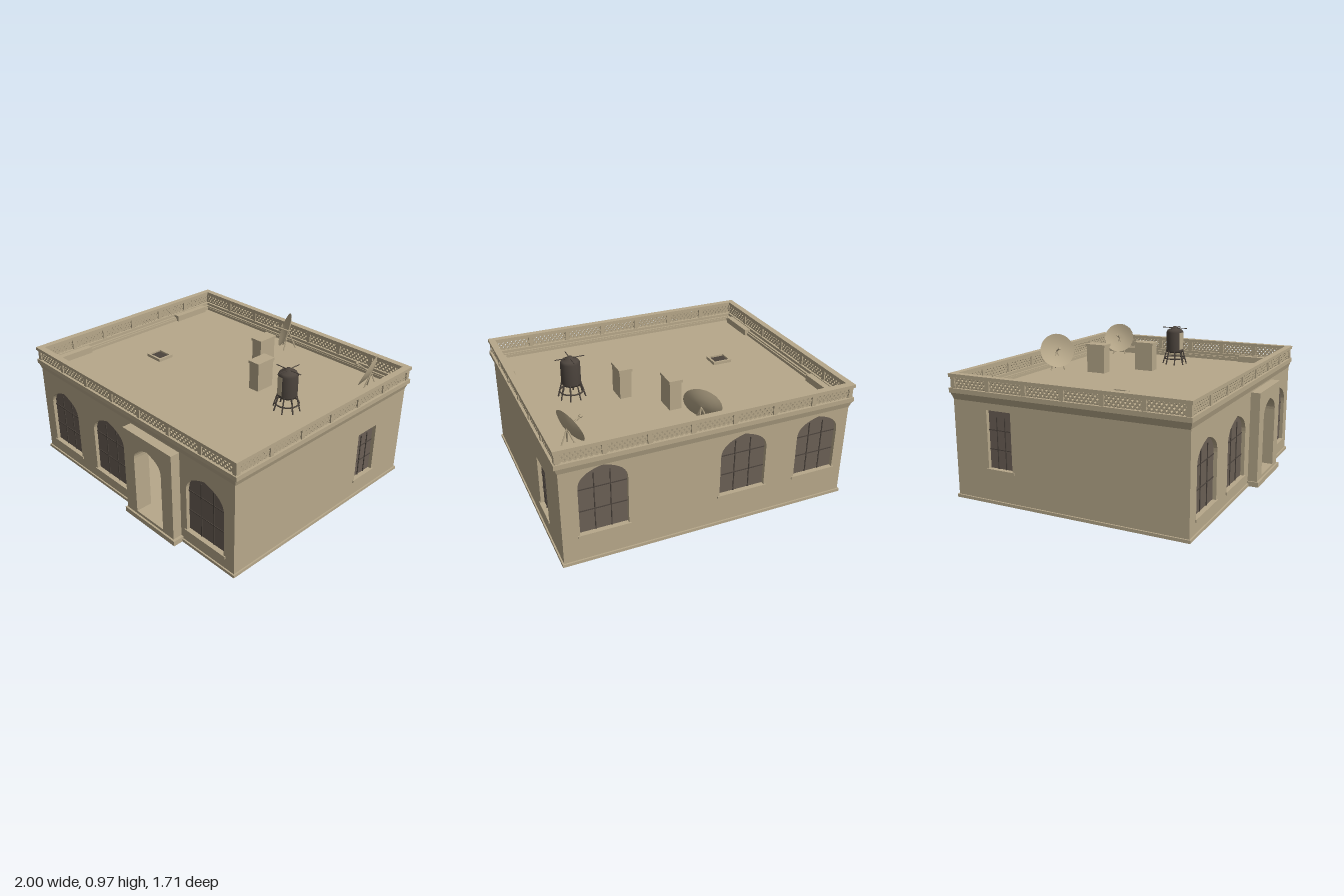
import * as THREE from 'three';
import { mergeGeometries } from 'three/addons/utils/BufferGeometryUtils.js';

const V = (x, y, z) => new THREE.Vector3(x, y, z);

export function createModel() {
  const mat = (name, color, side = THREE.FrontSide) => {
    const m = new THREE.MeshStandardMaterial({ color, side });
    m.name = name;
    return m;
  };
  const plaster = mat('plaster', 0xb7a88a, THREE.DoubleSide);
  const wood = mat('weathered wood', 0x6a5f55, THREE.DoubleSide);
  const dark = mat('dark metal', 0x4c443d, THREE.DoubleSide);
  const brown = mat('interior brown', 0x6a5230);

  const model = new THREE.Group();
  const add = (parent, name, geo, material) => {
    const m = new THREE.Mesh(geo, material);
    m.name = name;
    parent.add(m);
    return m;
  };
  // Box given by its limits on each axis
  const box = (x0, x1, y0, y1, z0, z1) =>
    new THREE.BoxGeometry(x1 - x0, y1 - y0, z1 - z0).translate((x0 + x1) / 2, (y0 + y1) / 2, (z0 + z1) / 2);
  // Straight rod between two points
  const rod = (a, b, r, sides = 6) => {
    const d = b.clone().sub(a);
    const q = new THREE.Quaternion().setFromUnitVectors(V(0, 1, 0), d.clone().normalize());
    const mid = a.clone().add(b).multiplyScalar(0.5);
    return new THREE.CylinderGeometry(r, r, d.length(), sides).applyQuaternion(q).translate(mid.x, mid.y, mid.z);
  };
  const rect = (C, x0, x1, y0, y1) => {
    const s = new C();
    s.moveTo(x0, y0).lineTo(x1, y0).lineTo(x1, y1).lineTo(x0, y1).closePath();
    return s;
  };
  // Opening outline: pointed arch or plain rectangle
  const opening = (C, o) => {
    const { x0, x1, y0, y1 } = o;
    if (!o.arch) return rect(C, x0, x1, y0, y1);
    const c = (x0 + x1) / 2, w = (x1 - x0) / 2, s = y1 - w * 0.85, s1 = s + (y1 - s) * 0.62, t = y1 - (y1 - s) * 0.16;
    const p = new C();
    p.moveTo(x0, y0).lineTo(x1, y0).lineTo(x1, s)
      .bezierCurveTo(x1, s1, c + w * 0.5, t, c, y1)
      .bezierCurveTo(c - w * 0.5, t, x0, s1, x0, s).closePath();
    return p;
  };
  const extrude = (shape, depth) => new THREE.ExtrudeGeometry(shape, { depth, bevelEnabled: false, curveSegments: 10 });
  // Horizontal rectangular ring
  const ring = (hx, hz, t, y0, y1) => {
    const s = rect(THREE.Shape, -hx, hx, -hz, hz);
    s.holes.push(rect(THREE.Path, t - hx, hx - t, t - hz, hz - t));
    return extrude(s, y1 - y0).rotateX(-Math.PI / 2).translate(0, y0, 0);
  };

  // House shell is centred a little behind the origin because of the porch
  const house = new THREE.Group();
  house.name = 'house';
  house.position.z = -0.035;
  model.add(house);
  const HX = 0.975, HZ = 0.81, T = 0.05, ROOF = 0.68;

  // One wall with its openings, shutters and sills, in its own plane
  const buildWall = (name, half, dist, angle, holes) => {
    const g = new THREE.Group();
    g.name = name;
    g.rotation.y = angle;
    g.position.set(Math.sin(angle) * dist, 0, Math.cos(angle) * dist);
    house.add(g);
    const s = rect(THREE.Shape, -half, half, 0, 0.7);
    holes.forEach(o => s.holes.push(opening(THREE.Path, o)));
    add(g, name + 'Panel', extrude(s, T).translate(0, 0, -T), plaster);
    holes.filter(o => !o.door).forEach(o => {
      const { x0, x1, y0, y1 } = o, w = x1 - x0, h = y1 - y0;
      add(g, 'shutter', new THREE.ShapeGeometry(opening(THREE.Shape, o), 10).translate(0, 0, -0.025), wood);
      const seams = [0.34, 0.67].map(f =>
        box(x0 + w * f - 0.003, x0 + w * f + 0.003, y0, y0 + h * 0.88, -0.025, -0.02));
      [0.33, 0.66].forEach(f => seams.push(box(x0, x1, y0 + h * f - 0.003, y0 + h * f + 0.003, -0.025, -0.021)));
      add(g, 'shutterSeams', mergeGeometries(seams), dark);
      add(g, 'windowSill', box(x0 - 0.015, x1 + 0.015, y0 - 0.018, y0, -0.03, 0.008), plaster);
    });
  };
  const win = (c, w, y0, y1, arch = true) => ({ x0: c - w / 2, x1: c + w / 2, y0, y1, arch });
  const door = { x0: 0.15, x1: 0.41, y0: 0.055, y1: 0.57, arch: true, door: true };
  buildWall('frontWall', HX, HZ, 0,
    [win(-0.72, 0.32, 0.11, 0.55), win(-0.207, 0.335, 0.1, 0.55), win(0.727, 0.325, 0.11, 0.55), door]);
  buildWall('backWall', HX, HZ, Math.PI,
    [win(-0.71, 0.31, 0.2, 0.66), win(0.215, 0.32, 0.22, 0.64), win(0.75, 0.3, 0.22, 0.64)]);
  buildWall('leftWall', HZ, HX, Math.PI / 2, [win(0.42, 0.19, 0.14, 0.49, false)]);
  buildWall('rightWall', HZ, HX, -Math.PI / 2, [win(-0.47, 0.18, 0.23, 0.61, false)]);

  // Base, roof and the cornice flaring out under the parapet
  add(house, 'base', box(-0.985, 0.985, 0, 0.02, -0.82, 0.82), plaster);
  add(house, 'roof', box(-0.96, 0.96, 0.65, ROOF, -0.8, 0.8), plaster);
  const flare = new THREE.CylinderGeometry(Math.SQRT2, Math.SQRT2 * 0.983, 0.05, 4, 1, true)
    .rotateY(Math.PI / 4).scale(0.992, 1, 0.823).translate(0, 0.68, 0).toNonIndexed();
  flare.computeVertexNormals();
  add(house, 'cornice', flare, plaster);

  // Parapet rails, posts and pierced lattice
  const PX = 0.998, PZ = 0.826;
  add(house, 'parapetLowerRail', ring(PX, PZ, 0.048, 0.7, 0.73), plaster);
  add(house, 'parapetFoot', ring(0.975, 0.805, 0.04, ROOF - 0.02, 0.71), plaster);
  add(house, 'parapetUpperRail', ring(PX, PZ, 0.045, 0.8, 0.822), plaster);
  const balustrade = (name, half, dist, angle, panels) => {
    const parts = [], step = 2 * half / panels;
    const bar = (x, y, len, a) => parts.push(new THREE.BoxGeometry(len, 0.011, 0.018).rotateZ(a).translate(x, y, 0));
    for (let i = 0; i <= panels; i++) {
      const x = -half + i * step;
      parts.push(box(x - 0.014, x + 0.014, 0.725, 0.805, -0.017, 0.017));
      if (i === panels) break;
      const n = 4, cw = (step - 0.028) / n;
      for (let k = 0; k < n; k++) {
        const cx = x + 0.014 + cw * (k + 0.5), a = Math.atan2(0.07, cw), len = Math.hypot(0.07, cw);
        bar(cx, 0.765, len, a);
        bar(cx, 0.765, len, -a);
        // small diamond around each crossing
        [[1, 1], [1, -1], [-1, 1], [-1, -1]].forEach(([u, v]) =>
          bar(cx + u * cw * 0.25, 0.765 + v * 0.0175, len / 2, -u * v * a));
      }
    }
    const m = add(house, name, mergeGeometries(parts), plaster);
    m.rotation.y = angle;
    m.position.set(Math.sin(angle) * dist, 0, Math.cos(angle) * dist);
  };
  balustrade('frontLattice', PX - 0.025, PZ - 0.025, 0, 7);
  balustrade('backLattice', PX - 0.025, PZ - 0.025, Math.PI, 7);
  balustrade('leftLattice', PZ - 0.025, PX - 0.025, Math.PI / 2, 6);
  balustrade('rightLattice', PZ - 0.025, PX - 0.025, -Math.PI / 2, 6);

  // Low ledges inside the parapet near the corners
  for (const s of [-1, 1]) for (const [z0, z1] of [[-0.75, -0.45], [0.39, 0.68]])
    add(model, 'roofLedge', box(s * 0.93 - 0.025, s * 0.93 + 0.025, ROOF, 0.725, z0, z1), plaster);

  // Porch with the arched doorway and a step
  const porch = rect(THREE.Shape, 0.05, 0.51, 0, 0.65);
  porch.holes.push(opening(THREE.Path, door));
  add(model, 'porch', extrude(porch, 0.075).translate(0, 0, 0.765), plaster);
  add(model, 'doorStep', box(0.04, 0.53, 0, 0.035, 0.76, 0.853), plaster);

  // Room behind the doorway
  const room = new THREE.Group();
  room.name = 'room';
  model.add(room);
  add(room, 'floor', box(-0.4, 0.9, 0.02, 0.05, 0.28, 0.73), plaster);
  add(room, 'backPartition', box(-0.4, 0.9, 0.02, 0.64, 0.26, 0.28), brown);
  add(room, 'rightPartition', box(-0.42, -0.4, 0.02, 0.64, 0.26, 0.73), brown);
  add(room, 'leftPartition', box(0.9, 0.92, 0.02, 0.64, 0.26, 0.73), brown);
  add(room, 'ceiling', box(-0.42, 0.92, 0.63, 0.65, 0.26, 0.73), brown);

  // Chimneys with slightly wider caps
  for (const [x, z] of [[0.08, -0.395], [0.313, -0.125]]) {
    add(model, 'chimney', box(x - 0.04, x + 0.04, ROOF, 0.87, z - 0.07, z + 0.07), plaster);
    add(model, 'chimneyCap', box(x - 0.046, x + 0.046, 0.868, 0.886, z - 0.077, z + 0.077), plaster);
  }

  // Roof hatch
  const hatch = new THREE.Group();
  hatch.name = 'roofHatch';
  hatch.position.set(-0.51, 0, 0.072);
  model.add(hatch);
  add(hatch, 'hatchFrame', ring(0.07, 0.06, 0.015, ROOF, 0.7), plaster);
  add(hatch, 'hatchCover', box(-0.056, 0.056, ROOF, 0.688, -0.046, 0.046), dark);

  // Water tank on splayed legs
  const tank = new THREE.Group();
  tank.name = 'waterTank';
  tank.position.set(0.63, 0, -0.03);
  model.add(tank);
  const profile = [[0, 0.77], [0.058, 0.77], [0.065, 0.785], [0.065, 0.925], [0.055, 0.942], [0.02, 0.955], [0.015, 0.967], [0, 0.967]];
  add(tank, 'tankBody', new THREE.LatheGeometry(profile.map(p => new THREE.Vector2(...p)), 16), dark);
  add(tank, 'tankPatch', new THREE.CylinderGeometry(0.067, 0.067, 0.13, 5, 1, true, -0.6, 0.75).translate(0, 0.86, 0), plaster);
  const legs = [], arms = [];
  for (let i = 0; i < 8; i++) {
    const a = (i + 0.5) * Math.PI / 4, c = Math.cos(a), s = Math.sin(a);
    legs.push(rod(V(c * 0.06, 0.79, s * 0.06), V(c * 0.09, ROOF, s * 0.09), 0.005));
  }
  for (let i = 0; i < 4; i++) {
    const a = i * Math.PI / 2, c = Math.cos(a), s = Math.sin(a);
    arms.push(rod(V(0, 0.956, 0), V(c * 0.1, 0.957, s * 0.1), 0.003));
  }
  legs.push(new THREE.TorusGeometry(0.078, 0.005, 6, 20).rotateX(Math.PI / 2).translate(0, 0.725, 0));
  add(tank, 'tankLegs', mergeGeometries(legs), dark);
  add(tank, 'tankTopBars', mergeGeometries(arms), dark);

  // Satellite dishes on tripods
  const dish = (x, y, z, r, n) => {
    const g = new THREE.Group(), c = V(x, y, z);
    g.name = 'satelliteDish';
    model.add(g);
    n.normalize();
    const pts = [0, 0.3, 0.55, 0.8, 1].map(t => new THREE.Vector2(t * r, t * t * 0.03 - 0.015));
    const bowl = add(g, 'dishBowl', new THREE.LatheGeometry(pts, 24), plaster);
    bowl.quaternion.setFromUnitVectors(V(0, 1, 0), n);
    bowl.position.copy(c);
    const back = c.clone().addScaledVector(n, -0.012), tip = c.clone().addScaledVector(n, 0.09);
    const rods = [rod(back, tip, 0.005), rod(tip, tip.clone().addScaledVector(n, 0.015), 0.011)];
    for (let i = 0; i < 3; i++) {
      const a = i * Math.PI * 2 / 3 + Math.atan2(-n.z, -n.x);
      rods.push(rod(back, V(back.x + Math.cos(a) * 0.06, ROOF, back.z + Math.sin(a) * 0.06), 0.005));
    }
    add(g, 'dishMount', mergeGeometries(rods), plaster);
  };
  dish(0.02, 0.82, -0.71, 0.125, V(-0.7, 0.35, 0.7));
  dish(0.83, 0.81, -0.62, 0.118, V(-1, 0.45, 0.35));

  return model;
}
